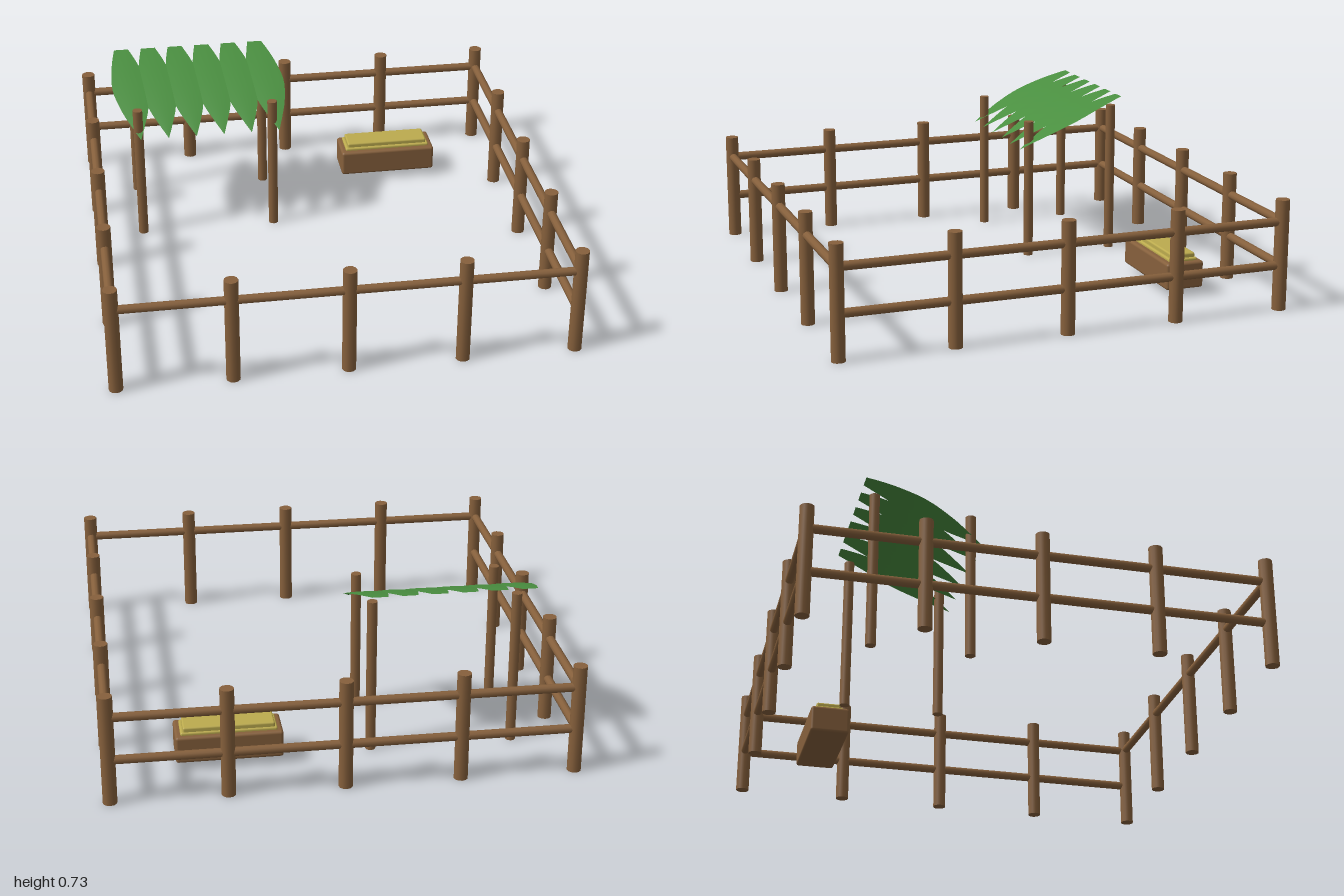
import * as THREE from 'three';
import { RoundedBoxGeometry } from 'three/addons/geometries/RoundedBoxGeometry.js';

export function createModel() {
  const model = new THREE.Group();
  model.name = 'pen';
  const mat = (name, color, side = THREE.FrontSide) => {
    const m = new THREE.MeshStandardMaterial({ color, side });
    m.name = name;
    return m;
  };
  const wood = mat('wood', 0x86603c);
  const leafGreen = mat('leaf green', 0x4a8f40, THREE.DoubleSide);
  const straw = mat('straw', 0xbcab4e);

  const add = (name, geometry, material, x, y, z) => {
    const mesh = new THREE.Mesh(geometry, material);
    mesh.name = name;
    mesh.position.set(x, y, z);
    model.add(mesh);
    return mesh;
  };
  const pole = (name, r, h, x, z) =>
    add(name, new THREE.CylinderGeometry(r, r, h, 12), wood, x, h / 2, z);

  // Fence posts around the square
  const edge = 0.97, step = edge / 2;
  for (let i = -2; i <= 2; i++) {
    for (let j = -2; j <= 2; j++) {
      if (Math.max(Math.abs(i), Math.abs(j)) === 2) pole('fencePost', 0.03, 0.485, i * step, j * step);
    }
  }

  // Rails: two on each side, the front has only the upper one
  const railGeo = new THREE.CylinderGeometry(0.019, 0.019, edge * 2, 10).rotateZ(Math.PI / 2);
  for (const y of [0.388, 0.196]) {
    for (const s of [-1, 1]) {
      add('sideRail', railGeo, wood, s * edge, y, 0).rotation.y = Math.PI / 2;
      if (s < 0 || y > 0.3) add(s < 0 ? 'backRail' : 'frontRail', railGeo, wood, 0, y, s * edge);
    }
  }

  // Shelter posts
  for (const x of [-0.77, -0.155]) {
    pole('shelterFrontPost', 0.022, 0.64, x, -0.255);
    pole('shelterBackPost', 0.022, 0.69, x, -0.665);
  }

  // Roof leaves: a strip whose half width follows a curve from the back end to the front tip
  const outline = new THREE.SplineCurve([
    [0, 0.033], [0.22, 0.063], [0.48, 0.082], [0.7, 0.062], [0.85, 0.034], [1, 0],
  ].map(p => new THREE.Vector2(...p)));
  const leafGeo = new THREE.PlaneGeometry(1, 1, 4, 20).rotateX(-Math.PI / 2);
  const pos = leafGeo.attributes.position;
  for (let i = 0; i < pos.count; i++) {
    const p = outline.getPoint(pos.getZ(i) + 0.5);
    const t = p.x, u = pos.getX(i) * 2;
    pos.setXYZ(i,
      -0.025 + 0.05 * t + u * p.y,
      0.728 - 0.213 * t + 0.088 * t * (1 - t) - 0.004 * u * u * Math.sin(Math.PI * t),
      -0.715 + 0.515 * t);
  }
  leafGeo.computeVertexNormals();
  for (let i = 0; i < 6; i++) add('roofLeaf', leafGeo, leafGreen, -0.787 + i * 0.1265, 0, 0);

  // Feeding trough with two layers of straw
  add('trough', new RoundedBoxGeometry(0.455, 0.12, 0.175, 3, 0.012), wood, 0.457, 0.095, -0.666);
  add('strawBase', new RoundedBoxGeometry(0.41, 0.07, 0.13, 2, 0.008), straw, 0.457, 0.132, -0.668);
  add('strawTop', new RoundedBoxGeometry(0.388, 0.06, 0.112, 2, 0.008), straw, 0.457, 0.157, -0.67);

  return model;
}
